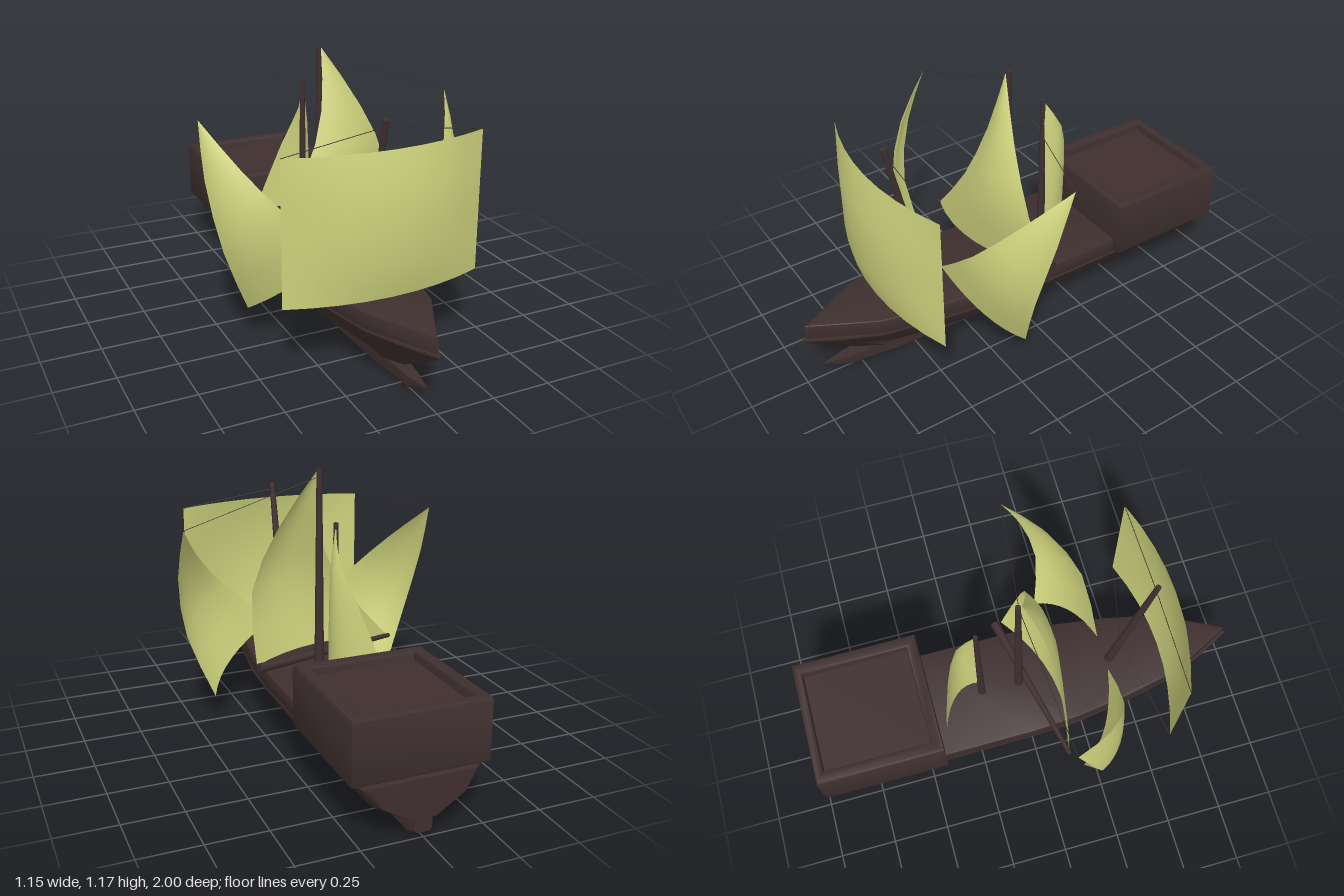
import * as THREE from 'three';
import { toCreasedNormals } from 'three/addons/utils/BufferGeometryUtils.js';

const wood = new THREE.MeshStandardMaterial({ color: 0x3f2f2f });
const cloth = new THREE.MeshStandardMaterial({ color: 0xcdd27c, side: THREE.DoubleSide });
const V = (p) => new THREE.Vector3(...p);

function mesh(name, geometry, material = wood) {
  const m = new THREE.Mesh(geometry, material);
  m.name = name;
  return m;
}

// Solid through closed rings that run clockwise seen from +z, ordered from stern to bow
function loft(rings) {
  const n = rings[0].length, last = (rings.length - 1) * n, index = [];
  for (let i = 0; i < rings.length - 1; i++) {
    for (let j = 0; j < n; j++) {
      const a = i * n + j, b = i * n + (j + 1) % n;
      index.push(a, a + n, b, b, a + n, b + n);
    }
  }
  for (let j = 1; j < n - 1; j++) index.push(0, j, j + 1, last, last + j + 1, last + j);
  const g = new THREE.BufferGeometry();
  g.setAttribute('position', new THREE.Float32BufferAttribute(rings.flat(2), 3));
  g.setIndex(index);
  return toCreasedNormals(g, 0.5);
}

// Tapered round spar between two points
function spar(name, from, to, r0, r1, sides = 10) {
  const a = V(from), d = V(to).sub(a);
  const m = mesh(name, new THREE.CylinderGeometry(r1, r0, d.length(), sides));
  m.position.copy(a).addScaledVector(d, 0.5);
  m.quaternion.setFromUnitVectors(new THREE.Vector3(0, 1, 0), d.normalize());
  return m;
}

// Cloth stretched between two edge curves, bellied along a vector
function sail(name, edgeA, edgeB, belly, fullness = (t) => t, rows = 6, cols = 8) {
  const A = new THREE.CatmullRomCurve3(edgeA.map(V)), B = new THREE.CatmullRomCurve3(edgeB.map(V));
  const pos = [], index = [], bulge = V(belly);
  for (let i = 0; i <= rows; i++) {
    const t = i / rows, a = A.getPoint(t), b = B.getPoint(t);
    for (let j = 0; j <= cols; j++) {
      const s = j / cols;
      pos.push(...a.clone().lerp(b, s).addScaledVector(bulge, 4 * s * (1 - s) * fullness(t)));
      if (i < rows && j < cols) {
        const k = i * (cols + 1) + j, l = k + cols + 1;
        index.push(k, l, k + 1, k + 1, l, l + 1);
      }
    }
  }
  const g = new THREE.BufferGeometry();
  g.setAttribute('position', new THREE.Float32BufferAttribute(pos, 3));
  g.setIndex(index);
  g.computeVertexNormals();
  return mesh(name, g, cloth);
}

// Flat plan outline (x, z) raised into a slab whose top is at height y
function slab(name, outline, hole, y, depth, bevel) {
  const shape = new THREE.Shape(outline.map((p) => new THREE.Vector2(...p)));
  if (hole) shape.holes.push(new THREE.Path(hole.map((p) => new THREE.Vector2(...p))));
  const g = new THREE.ExtrudeGeometry(shape, {
    depth: depth - 2 * bevel, bevelEnabled: bevel > 0, bevelSize: bevel,
    bevelThickness: bevel, bevelOffset: -bevel, bevelSegments: 2,
  });
  g.rotateX(Math.PI / 2).translate(0, y - bevel, 0);
  return mesh(name, toCreasedNormals(g, 0.7));
}

const mirrored = (half) => [...half, ...half.map(([x, z]) => [-x, z]).reverse().filter(([x]) => x !== 0)];
const rect = (w, z0, z1) => [[w, z0], [w, z1], [-w, z1], [-w, z0]];

function buildHull() {
  const hull = new THREE.Group();
  hull.name = 'hull';

  // Body: half-width of the deck edge at each station, raked forward at the bow
  const stations = [[-1, 0.21], [-0.975, 0.24], [-0.94, 0.25], [-0.4, 0.25], [0, 0.247], [0.2, 0.238],
    [0.45, 0.2], [0.7, 0.148], [0.85, 0.08], [1, 0.001]];
  hull.add(mesh('hullBody', loft(stations.map(([z, w]) => {
    const rake = Math.max(0, (z - 0.4) / 0.6), low = Math.min(0.05, w);
    const half = [[w * 0.99, 0.237, z], [w, 0.228, z], [w * 0.8, 0.15, z - 0.12 * rake], [low, 0.075, z - 0.25 * rake]];
    return [...half, ...half.map(([x, y, d]) => [-x, y, d]).reverse()];
  }))));

  // Keel: station, half-width and underside height
  const keel = [[-1, 0.036, 0.02], [-0.96, 0.047, 0.004], [0.3, 0.047, 0], [0.6, 0.044, 0.008],
    [0.82, 0.025, 0.02], [0.92, 0.001, 0.062]];
  hull.add(mesh('keel', loft(keel.map(([z, w, y]) => {
    const top = z > 0.7 ? 0.068 : 0.08, b = Math.min(0.012, (top - y) / 2);
    const half = [[w, top, z], [w, y + b, z], [w * 0.75, y, z]];
    return [...half, ...half.map(([x, v, d]) => [-x, v, d]).reverse()];
  }))));

  // Bulwark around the sunken deck
  const rim = [[0.247, -0.44], [0.245, 0], [0.232, 0.2], [0.198, 0.45], [0.145, 0.7], [0, 0.98]];
  const inner = [[0.222, -0.43], [0.22, 0], [0.207, 0.2], [0.173, 0.45], [0.122, 0.69], [0, 0.925]];
  hull.add(slab('bulwark', mirrored(rim), mirrored(inner), 0.305, 0.075, 0.006));
  hull.add(slab('deck', mirrored(inner), null, 0.27, 0.04, 0));

  // Stern cabin with a sunken roof
  hull.add(slab('cabinWalls', rect(0.28, -0.98, -0.42), rect(0.225, -0.94, -0.47), 0.5, 0.265, 0.014));
  hull.add(slab('cabinRoof', rect(0.235, -0.95, -0.46), null, 0.46, 0.2, 0));
  hull.add(slab('cabinFloor', rect(0.265, -0.965, -0.435), null, 0.25, 0.012, 0));
  return hull;
}

export function createModel() {
  const ship = new THREE.Group();
  ship.name = 'sailingShip';
  ship.add(buildHull());

  // Masts and boom
  ship.add(
    spar('mainMast', [0, 0.235, -0.015], [0, 1.172, -0.015], 0.022, 0.012),
    spar('mizzenMast', [0, 0.235, -0.19], [0, 0.985, -0.19], 0.018, 0.01),
    spar('foreMast', [0, 0.235, 0.405], [0, 1.01, 0.565], 0.023, 0.012),
    spar('boom', [0.29, 0.345, -0.05], [-0.4, 0.345, 0.11], 0.021, 0.01),
  );

  // Square foresail
  const side = (x) => [[x, 0.92, 0.57], [x, 0.62, 0.57], [x, 0.32, 0.57]];
  ship.add(sail('foreSail', side(0.43), side(-0.43), [0, 0, 0.12],
    (t) => Math.min(1, 0.67 + 1.32 * Math.min(t, 1 - t)), 4));

  // Three-cornered mainsail above the boom
  ship.add(sail('mainSail',
    [[0, 1.17, 0], [0.155, 0.92, 0.06], [0.275, 0.65, 0.07], [0.29, 0.345, -0.02]],
    [[0, 1.17, 0], [-0.03, 0.92, 0.07], [-0.14, 0.65, 0.12], [-0.39, 0.345, 0.11]],
    [0.01, 0, 0.09]));

  // Mizzen sail
  ship.add(sail('mizzenSail',
    [[0, 0.98, -0.19], [0.02, 0.77, -0.19], [0.03, 0.56, -0.19], [0.03, 0.35, -0.19]],
    [[0, 0.98, -0.19], [0.02, 0.84, -0.275], [-0.04, 0.66, -0.335], [-0.15, 0.35, -0.39]],
    [0.06, 0, -0.015]));

  for (const s of [1, -1]) {
    const tag = s > 0 ? 'left' : 'right';
    const flip = (pts) => pts.map(([x, y, z]) => [s * x, y, z]);
    // Wing sails flying out on either side
    ship.add(sail(tag + 'WingSail',
      flip([[0.565, 0.945, 0.065], [0.575, 0.72, 0.15], [0.53, 0.43, 0.215], [0.42, 0.145, 0.18]]),
      flip([[0.565, 0.945, 0.065], [0.46, 0.78, 0.245], [0.31, 0.6, 0.365], [0.08, 0.4, 0.38]]),
      [s * 0.05, -0.01, 0.03]));
    // Rigging lines
    ship.add(
      spar(tag + 'WingRope', [0, 1.14, -0.01], [s * 0.565, 0.945, 0.065], 0.0015, 0.0015, 5),
      spar(tag + 'ForeUpperRope', [0, 0.98, 0.56], [s * 0.43, 0.92, 0.57], 0.0015, 0.0015, 5),
      spar(tag + 'ForeLowerRope', [0, 0.49, 0.457], [s * 0.43, 0.32, 0.57], 0.0015, 0.0015, 5),
    );
  }
  return ship;
}
